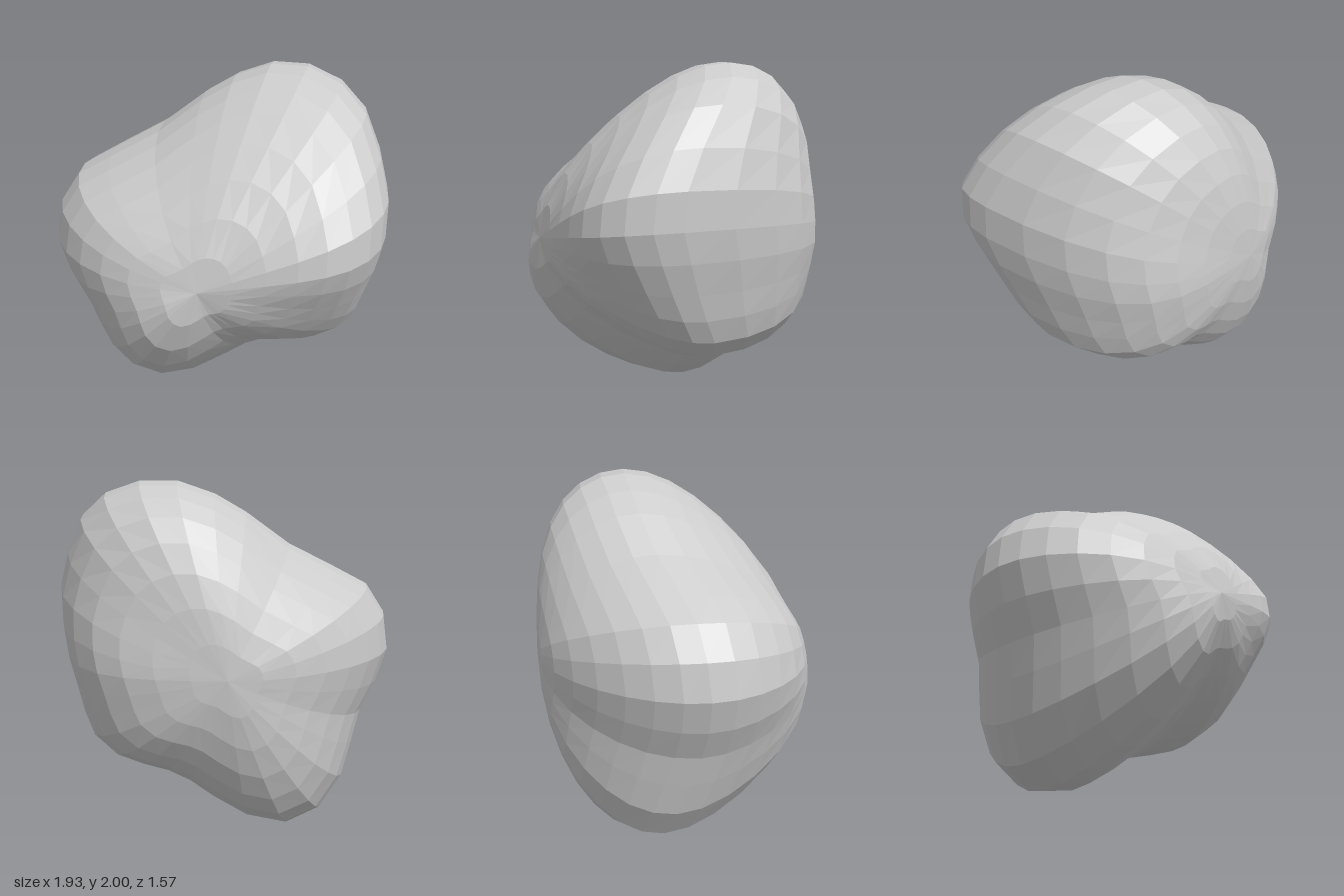
import * as THREE from 'three';

// Widest outline of the boulder, anticlockwise from its left side: x, y, z
const OUTLINE = [
  [0.93, 1.03, 0.17], [0.96, 1.2, 0.22], [0.96, 1.4, 0.2], [0.9, 1.6, 0.1], [0.8, 1.8, -0.04],
  [0.65, 1.93, -0.15], [0.45, 2.0, -0.22], [0.24, 2.0, -0.24], [0.04, 1.93, -0.22], [-0.13, 1.83, -0.2],
  [-0.37, 1.65, -0.14], [-0.65, 1.5, -0.06], [-0.83, 1.4, -0.01], [-0.94, 1.23, 0.02], [-0.97, 1.03, 0.04],
  [-0.91, 0.84, 0.04], [-0.82, 0.66, 0.02], [-0.77, 0.48, -0.03], [-0.71, 0.28, -0.09], [-0.58, 0.09, -0.14],
  [-0.38, 0.0, -0.17], [-0.15, 0.05, -0.18], [0.05, 0.17, -0.18], [0.2, 0.28, -0.17], [0.33, 0.345, -0.15],
  [0.48, 0.385, -0.12], [0.64, 0.44, -0.08], [0.78, 0.56, -0.02], [0.84, 0.7, 0.05], [0.88, 0.85, 0.11],
];
const FRONT = [0.03, 1.03, 0.75];
const BACK = [-0.04, 1.03, -0.79];
const HALF_RINGS = 8;

// Soft weight around an azimuth, in degrees
function near(angle, centre, width) {
  const d = ((angle - centre + 540) % 360) - 180;
  return Math.exp(-((d / width) ** 2));
}

// Point on the curve from a pole to the outline, swollen or hollowed along z
function surfacePoint(t, [x, y, z]) {
  const front = t <= Math.PI / 2;
  const pole = front ? FRONT : BACK;
  const s = Math.sin(t), c = Math.abs(Math.cos(t));
  const angle = (Math.atan2(y - 1.03, x) * 180 / Math.PI + 360) % 360;
  const nose = s * c ** 3;
  const shoulder = s * s * c;
  const swell = front
    ? nose * (0.3 * near(angle, 228, 45) - 0.1 * near(angle, 35, 60))
      + shoulder * (0.3 * near(angle, 14, 28) - 0.32 * near(angle, 82, 40) - 0.36 * near(angle, 285, 55))
    : shoulder * (0.13 * near(angle, 180, 40) - 0.43 * near(angle, 5, 38)
      - 0.12 * near(angle, 75, 30) - 0.12 * near(angle, 310, 25));
  return [
    pole[0] + (x - pole[0]) * s,
    pole[1] + (y - pole[1]) * s,
    z + (pole[2] - z) * c + swell,
  ];
}

function boulderGeometry() {
  const n = OUTLINE.length, rings = HALF_RINGS * 2;
  const positions = [], index = [];
  for (let j = 0; j <= rings; j++) {
    for (const p of OUTLINE) positions.push(...surfacePoint(Math.PI * j / rings, p));
  }
  for (let j = 0; j < rings; j++) {
    for (let i = 0; i < n; i++) {
      const k = (i + 1) % n;
      const a = j * n + i, b = a + n, c = (j + 1) * n + k, d = j * n + k;
      if (j < rings - 1) index.push(a, b, c);
      if (j > 0) index.push(a, c, d);
    }
  }
  const geometry = new THREE.BufferGeometry();
  geometry.setAttribute('position', new THREE.Float32BufferAttribute(positions, 3));
  geometry.setIndex(index);
  const faceted = geometry.toNonIndexed();
  faceted.computeVertexNormals();
  return faceted;
}

export function createModel() {
  const group = new THREE.Group();
  group.name = 'rock';
  const stone = new THREE.MeshStandardMaterial({ color: 0xcccccc, flatShading: true });
  stone.name = 'stone grey';
  const boulder = new THREE.Mesh(boulderGeometry(), stone);
  boulder.name = 'boulder';
  group.add(boulder);
  return group;
}
